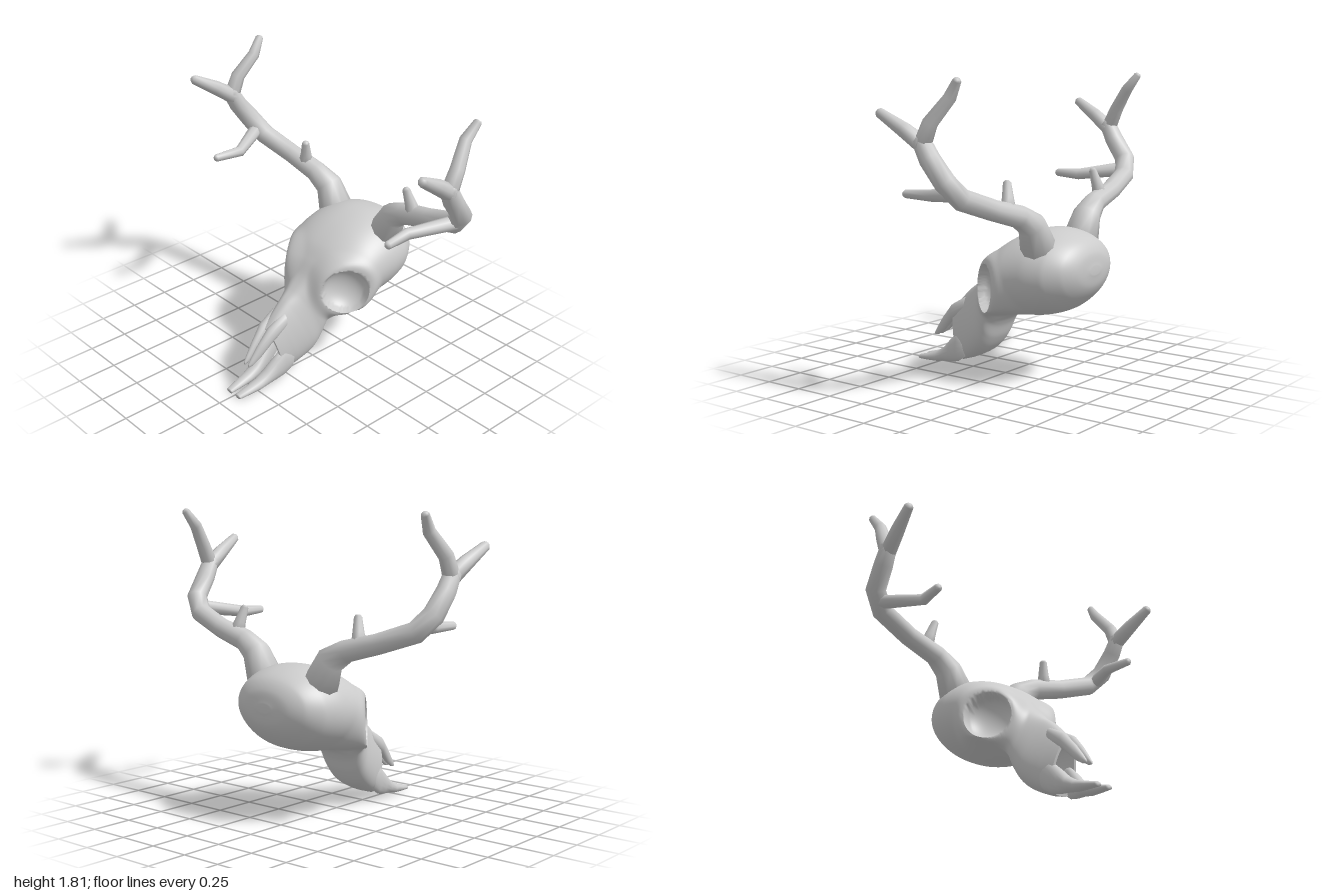
import * as THREE from 'three';

const V = (x, y, z) => new THREE.Vector3(x, y, z);
const material = new THREE.MeshStandardMaterial({ color: 0xcccccc, side: THREE.DoubleSide });

// Skin a list of equal-sized closed rings, closing both ends at their centres
function loft(rings) {
  const n = rings[0].length, m = rings.length, pos = [], idx = [];
  const centre = r => r.reduce((s, p) => s.add(p), V(0, 0, 0)).divideScalar(n);
  for (const p of [...rings.flat(), centre(rings[0]), centre(rings[m - 1])]) pos.push(p.x, p.y, p.z);
  for (let j = 0; j < n; j++) {
    const k = (j + 1) % n, last = (m - 1) * n;
    for (let i = 0; i < m - 1; i++) {
      const a = i * n + j, b = i * n + k, c = a + n, d = b + n;
      idx.push(a, c, b, b, c, d);
    }
    idx.push(m * n, j, k, m * n + 1, last + k, last + j);
  }
  const g = new THREE.BufferGeometry();
  g.setAttribute('position', new THREE.Float32BufferAttribute(pos, 3));
  g.setIndex(idx);
  g.computeVertexNormals();
  return g;
}

function part(name, geometry) {
  const mesh = new THREE.Mesh(geometry, material);
  mesh.name = name;
  return mesh;
}

// Tapered limb through rows of [x, y, z, radius] with a blunt rounded tip
function limb(rows, side, ref, sides = 10) {
  const pts = rows.map(r => V(side * r[0], r[1], r[2])), rad = rows.map(r => r[3]);
  const e = pts.length - 1;
  const dir = pts[e].clone().sub(pts[e - 1]).normalize();
  pts.push(pts[e].clone().addScaledVector(dir, rad[e] * 0.5));
  rad.push(rad[e] * 0.6);
  return loft(pts.map((p, i) => {
    const t = V(0, 0, 0);
    if (i > 0) t.add(p.clone().sub(pts[i - 1]).normalize());
    if (i < pts.length - 1) t.add(pts[i + 1].clone().sub(p).normalize());
    t.normalize();
    const up = ref.clone().addScaledVector(t, -ref.dot(t)).normalize();
    const across = up.clone().cross(t);
    return Array.from({ length: sides }, (_, j) => {
      const a = j / sides * Math.PI * 2;
      return p.clone().addScaledVector(across, rad[i] * Math.sin(a)).addScaledVector(up, rad[i] * Math.cos(a));
    });
  }));
}

// Small bone through rows of [z, x, y, half width, half height]
function bone(rows, side) {
  return loft(rows.map(([z, x, y, rx, ry]) => Array.from({ length: 16 }, (_, j) => {
    const a = j / 16 * Math.PI * 2;
    return V(side * x + rx * Math.sin(a), y + ry * Math.cos(a), z);
  })));
}

// Press a round eye socket with a flat rim into one side of the skull
function pressSocket(p, side) {
  if (p.x * side <= 0) return;
  const c = V(0.257 * side, 0.57, -0.035), nrm = V(0.8 * side, 0.04, 0.6).normalize();
  const rel = p.clone().sub(c), h = rel.dot(nrm), R = 0.143;
  const flat = rel.addScaledVector(nrm, -h);
  let d = flat.length() / R;
  const k = THREE.MathUtils.smoothstep(h, -0.26, -0.13);
  if (d > 1.65 || k === 0) return;
  if (Math.abs(d - 1) < 0.06) {
    flat.setLength(R);
    d = 1;
  }
  const target = d < 1 ? -0.1 * Math.sqrt(1 - d * d) : h * THREE.MathUtils.smoothstep(d, 1, 1.65);
  p.copy(c).add(flat).addScaledVector(nrm, h + (target - h) * k);
}

function skullGeometry() {
  // top z, top y, bottom z, bottom y, half width, narrowing of the top, squareness
  const S = [
    [-0.64, 0.73, -0.64, 0.68, 0.05, 0, 1],
    [-0.625, 0.81, -0.62, 0.60, 0.17, 0, 1],
    [-0.58, 0.87, -0.57, 0.53, 0.26, 0, 0.95],
    [-0.48, 0.915, -0.48, 0.46, 0.325, 0, 0.9],
    [-0.35, 0.93, -0.36, 0.42, 0.35, 0, 0.9],
    [-0.20, 0.89, -0.24, 0.405, 0.352, 0, 0.9],
    [-0.05, 0.80, -0.12, 0.39, 0.325, 0, 0.85],
    [0.03, 0.715, -0.04, 0.36, 0.26, 0.1, 0.8],
    [0.10, 0.62, 0.0, 0.31, 0.21, 0.3, 0.75],
    [0.17, 0.555, 0.04, 0.22, 0.2, 0.5, 0.7],
    [0.24, 0.505, 0.10, 0.14, 0.19, 0.6, 0.7],
    [0.31, 0.44, 0.20, 0.08, 0.15, 0.55, 0.7],
    [0.38, 0.365, 0.30, 0.045, 0.108, 0.45, 0.7],
  ];
  const top = new THREE.CatmullRomCurve3(S.map(s => V(0, s[1], s[0])));
  const bottom = new THREE.CatmullRomCurve3(S.map(s => V(0, s[3], s[2])));
  const form = new THREE.CatmullRomCurve3(S.map(s => V(s[4], s[5], s[6])));
  const NU = 110, NV = 96, rings = [];
  for (let i = 0; i <= NU; i++) {
    const t = i / NU, A = top.getPoint(t), B = bottom.getPoint(t), f = form.getPoint(t);
    rings.push(Array.from({ length: NV }, (_, j) => {
      const a = j / NV * Math.PI * 2, s = Math.sin(a), v = 0.5 + 0.5 * Math.cos(a);
      const p = B.clone().lerp(A, v);
      p.x = f.x * Math.sign(s) * Math.abs(s) ** f.z * (1 - f.y * v);
      pressSocket(p, 1);
      pressSocket(p, -1);
      return p;
    }));
  }
  // nasal cavity behind the front opening
  const mouth = rings[NU], mid = V(0, 0.205, 0.34);
  const inset = (k, dy, dz) => mouth.map(p => p.clone().sub(mid).multiplyScalar(k).add(mid).add(V(0, dy, dz)));
  rings.push(inset(1, 0, 0), inset(0.82, 0, 0), inset(0.82, 0, 0), inset(0.6, 0.04, -0.16));
  return loft(rings);
}

// Antler rows: x, y, z, radius
const BEAM = [
  [0.215, 0.83, -0.395, 0.108], [0.285, 0.975, -0.395, 0.083], [0.39, 1.035, -0.38, 0.066],
  [0.60, 1.09, -0.365, 0.06], [0.82, 1.165, -0.325, 0.062], [0.905, 1.26, -0.28, 0.062],
  [0.92, 1.38, -0.19, 0.058], [0.925, 1.48, -0.135, 0.05],
];
const TINES = {
  FrontTine: [[0.92, 1.45, -0.15, 0.05], [0.94, 1.53, -0.03, 0.044], [0.965, 1.615, 0.115, 0.029]],
  RearTine: [[0.925, 1.44, -0.14, 0.05], [0.925, 1.57, -0.2, 0.043], [0.885, 1.7, -0.3, 0.036], [0.905, 1.79, -0.365, 0.024]],
  InnerTine: [[0.87, 1.2, -0.3, 0.045], [0.73, 1.16, -0.04, 0.034], [0.75, 1.16, 0.13, 0.024]],
  BrowTine: [[0.475, 1.06, -0.37, 0.05], [0.455, 1.14, -0.355, 0.034], [0.436, 1.225, -0.335, 0.023]],
};
const NASAL = [
  [0.27, 0.04, 0.40, 0.035, 0.05], [0.38, 0.036, 0.335, 0.035, 0.052],
  [0.46, 0.027, 0.25, 0.023, 0.047], [0.51, 0.022, 0.2, 0.015, 0.028], [0.535, 0.02, 0.18, 0.007, 0.01],
];
const JAW = [
  [0.25, 0.08, 0.16, 0.03, 0.08], [0.31, 0.07, 0.135, 0.036, 0.095], [0.37, 0.06, 0.1, 0.041, 0.075],
  [0.43, 0.053, 0.067, 0.044, 0.046], [0.49, 0.05, 0.043, 0.04, 0.034],
  [0.57, 0.045, 0.027, 0.032, 0.023], [0.64, 0.04, 0.016, 0.025, 0.014],
];

export function createModel() {
  const model = new THREE.Group();
  model.name = 'antleredSkull';
  model.add(part('skull', skullGeometry()));

  for (const [label, side] of [['left', 1], ['right', -1]]) {
    model.add(part(label + 'NasalBone', bone(NASAL, side)));
    model.add(part(label + 'FrontJawBone', bone(JAW, side)));

    const antler = new THREE.Group();
    antler.name = label + 'Antler';
    antler.add(part(label + 'Beam', limb(BEAM, side, V(0, 0, 1))));
    for (const [name, rows] of Object.entries(TINES)) {
      antler.add(part(label + name, limb(rows, side, V(1, 0, 0), 8)));
    }
    model.add(antler);
  }
  return model;
}
